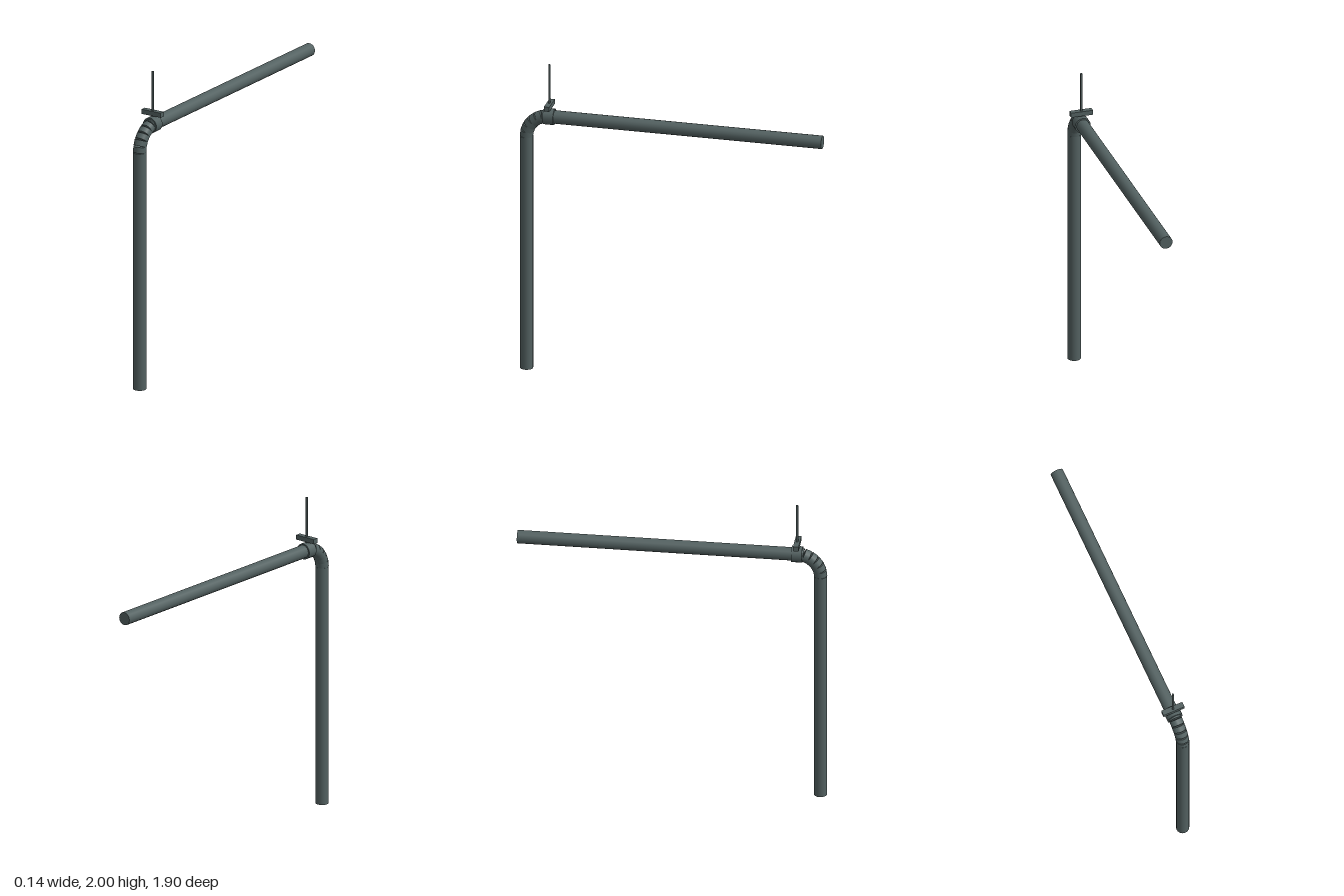
import * as THREE from 'three';

export function createModel() {
  const model = new THREE.Group();
  const steel = new THREE.MeshStandardMaterial({ color: 0x536161 });
  steel.name = 'dark grey steel';

  const R = 0.041;               // pipe radius
  const bend = 0.14;             // elbow centreline radius
  const postZ = 0.91, postTop = 1.52;
  const armY = postTop + bend, bendZ = postZ - bend;

  function add(name, geometry, x, y, z, tilt = 0) {
    const mesh = new THREE.Mesh(geometry, steel);
    mesh.name = name;
    mesh.position.set(x, y, z);
    mesh.rotation.x = tilt;
    model.add(mesh);
    return mesh;
  }
  const pipe = (radius, length, sides = 16) => new THREE.CylinderGeometry(radius, radius, length, sides);

  // Upright and horizontal pipes
  add('verticalPipe', pipe(R, postTop), 0, postTop / 2, postZ);
  const armLength = bendZ + 0.95;
  add('horizontalPipe', pipe(R, armLength), 0, armY, bendZ - armLength / 2, -Math.PI / 2);

  // Elbow of short straight sections, gapped along the outer side
  const count = 6, step = Math.PI / 2 / count;
  for (let i = 0; i < count; i++) {
    const a = (i + 0.5) * step;
    add('elbowSection' + (i + 1), pipe(R, bend * step),
      0, postTop + bend * Math.sin(a), bendZ + bend * Math.cos(a), -a);
  }

  // Clamp collar, cross plate and hanger rod
  add('clampCollar', pipe(0.05, 0.066), 0, armY, bendZ - 0.003, -Math.PI / 2);
  add('crossPlate', new THREE.BoxGeometry(0.14, 0.03, 0.034), 0, 1.733, bendZ - 0.003);
  add('hangerRod', pipe(0.007, 0.29, 8), 0, 1.855, bendZ - 0.003);

  return model;
}
